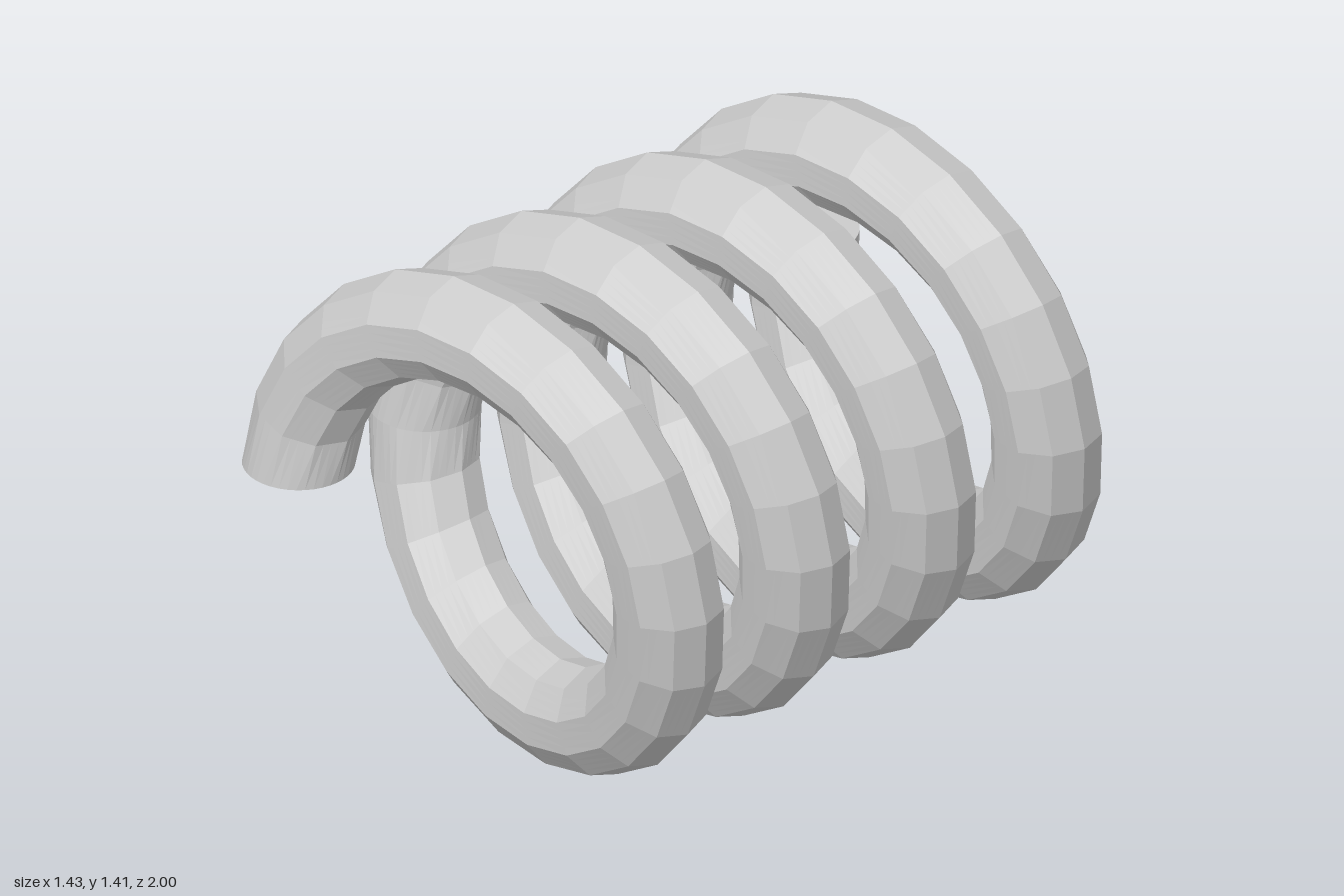
import * as THREE from 'three';

const WIRE = 1 / 7;          // wire radius
const COIL = 4 * WIRE;       // radius of the coil centre line
const PITCH = 3 * WIRE;      // advance per turn
const TURNS = 4;
const STEPS = 22;            // rings per turn
const SIDES = 40;            // points per ring
const FACETS = 10;           // flat faces around the wire

// Distance from the wire centre to a regular polygon at angle phi
function facetRadius(phi) {
  const wedge = (2 * Math.PI) / FACETS;
  const local = (phi % wedge) - wedge / 2;
  return (WIRE * Math.cos(wedge / 2)) / Math.cos(local);
}

// Wire swept along a helix about z; round where each turn begins, faceted between
function coilGeometry() {
  const positions = [];
  const index = [];
  const rings = TURNS * STEPS;
  const startZ = (TURNS * PITCH) / 2;

  for (let i = 0; i <= rings; i++) {
    const theta = (i / STEPS) * 2 * Math.PI;
    const z = startZ - (i / STEPS) * PITCH;
    for (let j = 0; j < SIDES; j++) {
      const phi = (j / SIDES) * 2 * Math.PI;
      const r = i % STEPS === 0 ? WIRE : facetRadius(phi);
      const radial = COIL + r * Math.cos(phi);
      positions.push(-radial * Math.cos(theta), radial * Math.sin(theta), z + r * Math.sin(phi));
    }
  }

  for (let i = 0; i < rings; i++) {
    for (let j = 0; j < SIDES; j++) {
      const k = (j + 1) % SIDES;
      const a = i * SIDES + j;
      const b = i * SIDES + k;
      index.push(a, b, b + SIDES, a, b + SIDES, a + SIDES);
    }
  }

  const geometry = new THREE.BufferGeometry();
  geometry.setAttribute('position', new THREE.Float32BufferAttribute(positions, 3));
  geometry.setIndex(index);
  geometry.computeVertexNormals();
  return geometry;
}

export function createModel() {
  const group = new THREE.Group();
  group.name = 'coilSpring';
  const material = new THREE.MeshStandardMaterial({ color: 0xcccccc, flatShading: true });

  const coil = new THREE.Mesh(coilGeometry(), material);
  coil.name = 'coil';
  group.add(coil);

  // Flat cut ends of the wire: the front one faces down, the back one up
  for (const side of [1, -1]) {
    const end = new THREE.Mesh(new THREE.CircleGeometry(WIRE, SIDES), material);
    end.name = side > 0 ? 'frontEnd' : 'backEnd';
    end.rotation.x = (side * Math.PI) / 2;
    end.position.set(-COIL, 0, (side * TURNS * PITCH) / 2);
    group.add(end);
  }

  // Rest the coil on the ground
  for (const part of group.children) part.position.y = COIL + WIRE;
  return group;
}
